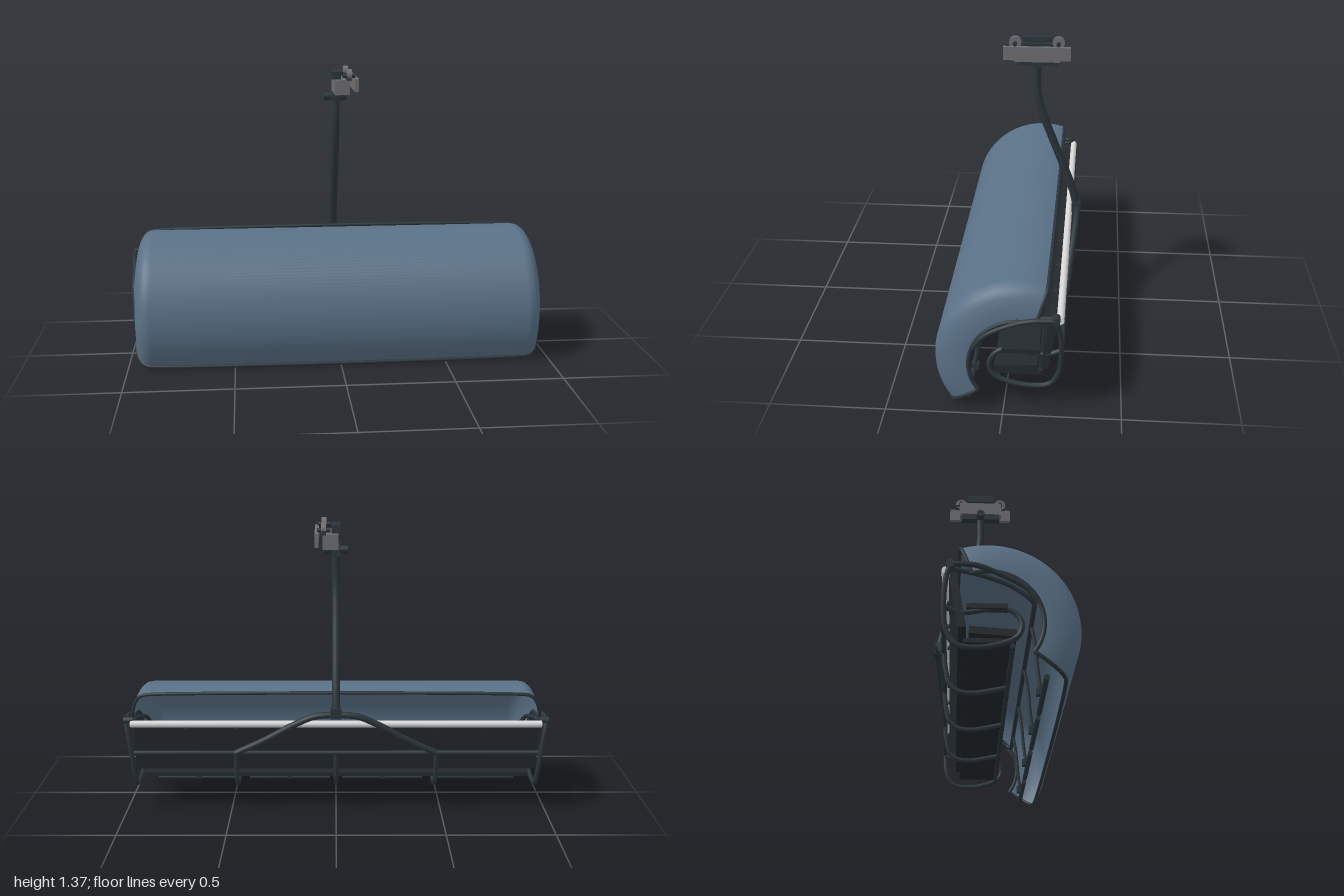
import * as THREE from 'three';

const mat = (name, color, side = THREE.FrontSide) => {
  const m = new THREE.MeshStandardMaterial({ color, side });
  m.name = name;
  return m;
};

export function createModel() {
  const group = new THREE.Group();
  const frame = mat('dark steel', 0x2b353b);
  const pad = mat('seat padding', 0x23292d);
  const shellBlue = mat('tinted shell', 0x5a7186, THREE.DoubleSide);
  const grey = mat('grip grey', 0x6e6e72);
  const light = mat('light rail', 0xd8d8d8);

  const add = (name, geo, m, x = 0, y = 0, z = 0, rx = 0) => {
    const mesh = new THREE.Mesh(geo, m);
    mesh.name = name;
    mesh.position.set(x, y, z);
    mesh.rotation.x = rx;
    group.add(mesh);
    return mesh;
  };
  const box = (name, m, w, h, d, x, y, z, rx) => add(name, new THREE.BoxGeometry(w, h, d), m, x, y, z, rx);
  const barX = (name, m, r, len, x, y, z) =>
    add(name, new THREE.CylinderGeometry(r, r, len, 16).rotateZ(Math.PI / 2), m, x, y, z);
  const tube = (name, pts, r, m = frame, seg = 48) => {
    const curve = new THREE.CatmullRomCurve3(pts.map(p => new THREE.Vector3(...p)), false, 'centripetal');
    return add(name, new THREE.TubeGeometry(curve, seg, r, 10), m);
  };

  // Curved weather shell, a partial revolution about the x axis
  const CY = 0.22, CZ = -0.07;
  const half = [[0.885, 0.365], [0.91, 0.36], [0.932, 0.343], [0.948, 0.315], [0.959, 0.28], [0.965, 0.245], [0.965, 0.215]];
  const profile = [...half.map(([x, r]) => [-x, r]).reverse(), ...half];
  const a0 = THREE.MathUtils.degToRad(-35), a1 = THREE.MathUtils.degToRad(108);
  const shell = new THREE.LatheGeometry(profile.map(([x, r]) => new THREE.Vector2(r, x)), 56, -a1, a1 - a0);
  add('weatherShell', shell.rotateZ(-Math.PI / 2), shellBlue, 0, CY, CZ);

  // Dark trim along all four edges of the shell
  const onShell = (x, r, a) => [x, CY + r * Math.sin(a), CZ + r * Math.cos(a)];
  for (const a of [a0, a1]) tube('shellEdgeTrim', profile.map(([x, r]) => onShell(x, r, a)), 0.008, frame, 90);
  for (const s of [-1, 1]) {
    const arc = [];
    for (let i = 0; i <= 12; i++) arc.push(onShell(s * 0.965, 0.215, a0 + (a1 - a0) * i / 12));
    tube('shellEndTrim', arc, 0.009);
  }

  // Seat cushion, base and backrest
  box('seatCushion', pad, 1.88, 0.03, 0.185, 0, 0.19, -0.052, -0.07 * -1 - 0.14 + 0.14);
  box('seatBase', pad, 1.84, 0.018, 0.195, 0, 0.16, -0.067);
  box('backrest', pad, 1.9, 0.22, 0.032, 0, 0.31, -0.189, -0.17);
  barX('topRail', light, 0.016, 1.92, 0, 0.44, -0.237);
  barX('rearRail', frame, 0.011, 1.9, 0, 0.3, -0.243);
  barX('seatFrontRail', frame, 0.009, 1.84, 0, 0.14, 0.025);

  // Hoops carrying the seat
  for (const x of [-0.47, 0, 0.47])
    tube('seatHoop', [[x, 0.3, -0.245], [x, 0.22, -0.235], [x, 0.155, -0.218], [x, 0.122, -0.175], [x, 0.116, -0.11], [x, 0.128, -0.04], [x, 0.143, 0.03]], 0.011);

  for (const s of [-1, 1]) {
    // End frame, looping under the seat and back as the armrest
    tube('endFrame', [
      [0.985, 0.455, -0.218], [0.975, 0.4, -0.235], [0.96, 0.29, -0.243], [0.95, 0.18, -0.23], [0.95, 0.13, -0.195],
      [0.95, 0.117, -0.11], [0.95, 0.14, 0], [0.95, 0.17, 0.047], [0.95, 0.215, 0.06], [0.945, 0.26, 0.04],
      [0.94, 0.285, 0], [0.94, 0.28, -0.08], [0.94, 0.267, -0.18], [0.945, 0.29, -0.243],
    ].map(([x, y, z]) => [s * x, y, z]), 0.011, frame, 110);
    box('armrestPad', pad, 0.04, 0.02, 0.16, s * 0.94, 0.288, -0.075);
    barX('pivot', frame, 0.017, 0.045, s * 0.972, 0.453, -0.22);
    // Arms that swing the shell and the safety bar
    tube('shellArm', [[0.985, 0.455, -0.22], [0.985, 0.45, -0.12], [0.975, 0.42, -0.03], [0.97, 0.36, 0.08], [0.965, 0.3, 0.125]]
      .map(([x, y, z]) => [s * x, y, z]), 0.011);
    tube('safetyBarArm', [[0.955, 0.45, -0.22], [0.94, 0.43, -0.1], [0.93, 0.39, 0.02], [0.92, 0.335, 0.1], [0.9, 0.325, 0.113]]
      .map(([x, y, z]) => [s * x, y, z]), 0.01);
    // Sloping brace from the yoke to the seat hoops
    tube('yokeBrace', [[0, 0.5, -0.277], [0.1, 0.49, -0.277], [0.2, 0.445, -0.27], [0.34, 0.365, -0.256], [0.47, 0.3, -0.245]]
      .map(([x, y, z]) => [s * x, y, z]), 0.015);
  }

  // Safety bar with hanging rods and footrests
  barX('safetyBar', frame, 0.01, 1.82, 0, 0.325, 0.113);
  for (const x of [-0.7, -0.235, 0.235, 0.7]) {
    tube('footrestRod', [[x, 0.325, 0.113], [x, 0.24, 0.127], [x, 0.12, 0.137], [x, 0.02, 0.15]], 0.008, frame, 24);
    barX('footrest', frame, 0.011, 0.41, x, 0.02, 0.155);
    box('footrestLug', frame, 0.03, 0.03, 0.035, x, 0.035, 0.147);
  }
  // Small lugs on top of the backrest
  for (const x of [-0.7, -0.47, -0.235, 0.235, 0.47, 0.7]) box('backrestLug', frame, 0.016, 0.02, 0.035, x, 0.425, -0.215);

  // Hanger arm and its yoke clamp
  tube('hangerArm', [[0, 1.235, -0.083], [0, 1.12, -0.081], [0, 1.05, -0.09], [0, 0.957, -0.117], [0, 0.793, -0.18], [0, 0.61, -0.25], [0, 0.5, -0.278]], 0.019, frame, 64);
  box('yokeClamp', frame, 0.05, 0.05, 0.042, 0, 0.507, -0.274);

  // Cable grip at the top
  barX('gripPin', frame, 0.019, 0.107, -0.002, 1.235, -0.083);
  box('gripFoot', frame, 0.04, 0.03, 0.187, 0, 1.235, -0.083);
  box('gripBody', grey, 0.07, 0.07, 0.207, 0.025, 1.285, -0.083);
  box('gripCap', frame, 0.04, 0.036, 0.13, 0, 1.337, -0.08);
  box('guidePlate', grey, 0.018, 0.062, 0.306, 0.088, 1.3, -0.083);
  box('jawBar', frame, 0.02, 0.02, 0.25, 0.055, 1.33, -0.083);
  for (const z of [0.017, -0.18]) {
    barX('roller', grey, 0.028, 0.022, 0.056, 1.343, z);
    barX('rollerAxle', frame, 0.01, 0.06, 0.055, 1.34, z);
  }
  return group;
}
